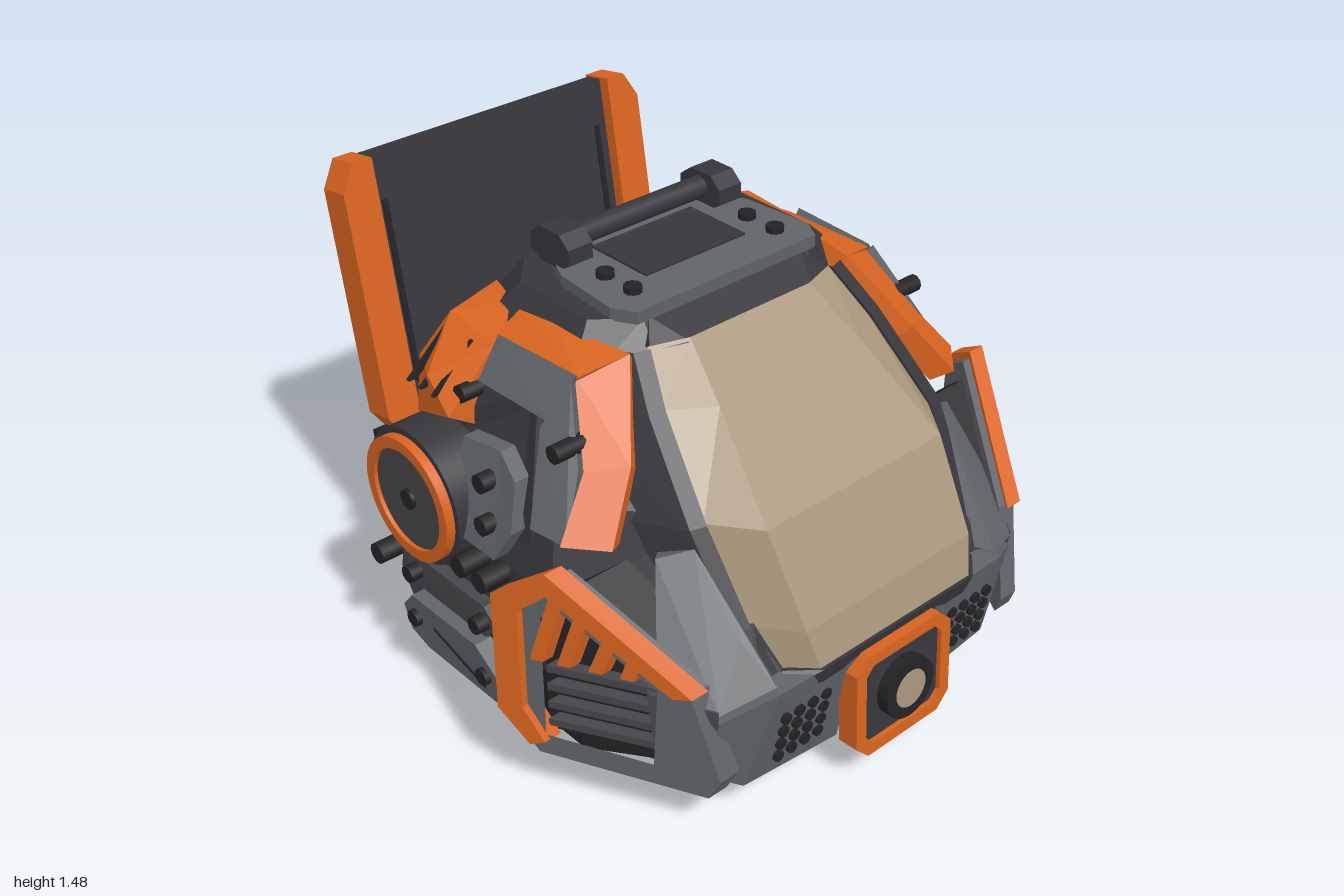
import * as THREE from 'three';
import { ConvexGeometry } from 'three/addons/geometries/ConvexGeometry.js';

const paint = (name, color) => Object.assign(new THREE.MeshStandardMaterial({ color }), { name });
const V = (p) => new THREE.Vector3(...p);

// half width, corner and depth of the octagonal hull: y, xFront, zFront, xSide, zSideFront, zSideBack, xBack, zBack
const HULL = [
  [0.04, 0.40, 0.64, 0.60, 0.42, -0.32, 0.42, -0.55],
  [0.17, 0.50, 0.84, 0.78, 0.45, -0.36, 0.56, -0.58],
  [0.38, 0.52, 0.88, 0.80, 0.42, -0.38, 0.58, -0.60],
  [0.48, 0.48, 0.86, 0.80, 0.40, -0.38, 0.58, -0.59],
  [0.65, 0.42, 0.76, 0.79, 0.34, -0.38, 0.56, -0.57],
  [0.90, 0.40, 0.62, 0.72, 0.28, -0.36, 0.52, -0.51],
  [1.12, 0.36, 0.36, 0.62, 0.20, -0.30, 0.46, -0.43],
  [1.31, 0.32, 0.20, 0.44, 0.10, -0.20, 0.33, -0.32],
];
const hullRing = ([y, xf, zf, xs, sf, sb, xb, zb]) => [
  [-xf, y, zf], [xf, y, zf], [xs, y, sf], [xs, y, sb], [xb, y, zb], [-xb, y, zb], [-xs, y, sb], [-xs, y, sf]];

// x of the hull side at a height
function sideX(y) {
  let i = 1;
  while (i < HULL.length - 1 && HULL[i][0] < y) i++;
  const a = HULL[i - 1], b = HULL[i];
  return a[3] + (b[3] - a[3]) * (y - a[0]) / (b[0] - a[0]);
}

// skin over cross-sections, listed from low to high
function loft(rings, closed = false) {
  const pos = [], n = rings[0].length;
  const tri = (...t) => t.forEach((p) => pos.push(...p));
  for (let i = 0; i + 1 < rings.length; i++)
    for (let j = 0; j < (closed ? n : n - 1); j++) {
      const k = (j + 1) % n, a = rings[i], b = rings[i + 1];
      tri(a[j], a[k], b[k]);
      tri(a[j], b[k], b[j]);
    }
  if (closed) for (let j = 1; j + 1 < n; j++) {
    const a = rings[0], b = rings[rings.length - 1];
    tri(a[0], a[j + 1], a[j]);
    tri(b[0], b[j], b[j + 1]);
  }
  const g = new THREE.BufferGeometry();
  g.setAttribute('position', new THREE.Float32BufferAttribute(pos, 3));
  g.computeVertexNormals();
  return g;
}

// faceted armour: outer points plus the same points pushed toward the body core
function armour(points, depth = 0.08) {
  const core = new THREE.Vector3(0, 0.55, 0);
  const outer = points.map(V);
  const inner = outer.map((p) => p.clone().add(core.clone().sub(p).setLength(depth)));
  return new ConvexGeometry([...outer, ...inner]);
}

const outline = (pts, sx = 1) => pts.map(([a, b]) => new THREE.Vector2(a * sx, b));
const extrude = (shape, depth) => new THREE.ExtrudeGeometry(shape, { depth, bevelEnabled: false, curveSegments: 32 });

// plate drawn in (z, y), facing +x, its outer face following the rule x = surface(y, z)
function sidePlate(pts, depth, surface, hole) {
  const shape = new THREE.Shape(outline(pts, -1));
  if (hole) shape.holes.push(new THREE.Path(outline(hole, -1)));
  const g = extrude(shape, depth).rotateY(Math.PI / 2), p = g.attributes.position;
  for (let i = 0; i < p.count; i++) p.setX(i, p.getX(i) - depth + surface(p.getY(i), p.getZ(i)));
  g.computeVertexNormals();
  return g;
}
const onHull = (lift) => (y) => sideX(y) + lift;
const onWing = (lift) => (y, z) => 1.15 - 0.565 * z + lift;
const box = (w, h, d, x, y, z) => new THREE.BoxGeometry(w, h, d).translate(x, y, z);
const rod = (r, len, x, y, z, n = 24) => new THREE.CylinderGeometry(r, r, len, n).rotateZ(Math.PI / 2).translate(x, y, z);
const lens = (r, len, x, y, z, n = 32) => new THREE.CylinderGeometry(r, r, len, n).rotateX(Math.PI / 2).translate(x, y, z);
const puck = (r, len, x, y, z, n = 20) => new THREE.CylinderGeometry(r, r, len, n).translate(x, y, z);

function mirrored(geo) {
  const g = geo.index ? geo.toNonIndexed() : geo.clone();
  for (const key of ['position', 'normal']) {
    const a = g.attributes[key], t = new THREE.Vector3(), u = new THREE.Vector3();
    for (let i = 0; i < a.count; i++) a.setX(i, -a.getX(i));
    for (let i = 0; i < a.count; i += 3) {
      t.fromBufferAttribute(a, i + 1);
      u.fromBufferAttribute(a, i + 2);
      a.setXYZ(i + 1, u.x, u.y, u.z);
      a.setXYZ(i + 2, t.x, t.y, t.z);
    }
  }
  return g;
}

export function createModel() {
  const root = new THREE.Group();
  root.name = 'armouredPod';
  const body = paint('charcoal', 0x37363b), black = paint('black', 0x232326), grey = paint('steel grey', 0x606467);
  const orange = paint('orange', 0xd96420), tan = paint('tan glass', 0xa8967c), panel = paint('dark grey', 0x47474b);
  const add = (name, geo, mat, parent = root) => {
    const m = new THREE.Mesh(geo, mat);
    m.name = name;
    parent.add(m);
    return m;
  };
  const both = (name, geo, mat, parent) => {
    add(name + 'Left', geo, mat, parent);
    add(name + 'Right', mirrored(geo), mat, parent);
  };

  // hull
  add('lowerHull', loft(HULL.slice(0, 3).map(hullRing), true), black);
  add('upperHull', loft(HULL.slice(2).map(hullRing), true), body);

  // faceted window and its frame: y, centre x, centre z, side x, side z
  const glass = [[0.48, 0.31, 0.93, 0.39, 0.85], [0.62, 0.34, 0.89, 0.44, 0.76], [0.89, 0.355, 0.74, 0.46, 0.60],
    [1.13, 0.28, 0.47, 0.41, 0.38], [1.26, 0.235, 0.30, 0.36, 0.26]];
  add('window', loft(glass.map(([y, a, b, c, d]) => [[-c, y, d], [-a, y, b], [a, y, b], [c, y, d]])), tan);
  both('windowFrame', loft(glass.map(([y, , , c, d]) =>
    [[c - 0.01, y, d - 0.02], [c, y, d + 0.015], [c + 0.05, y, d], [c + 0.14, y - 0.02, d - 0.2]])), body);
  add('windowSill', new ConvexGeometry([[0.4, 0.5, 0.86], [0.31, 0.5, 0.935], [0.45, 0.44, 0.88], [0.3, 0.44, 0.92], [0.3, 0.45, 0.7]]
    .flatMap(([x, y, z]) => [V([x, y, z]), V([-x, y, z])])), body);
  add('windowHeader', new ConvexGeometry([[0.24, 1.25, 0.31], [0.36, 1.25, 0.27], [0.3, 1.31, 0.2], [0.3, 1.25, 0.1]]
    .flatMap(([x, y, z]) => [V([x, y, z]), V([-x, y, z])])), body);

  // nose cheeks with perforated grilles
  both('noseCheek', armour([[0.17, 0.49, 0.93], [0.47, 0.49, 0.92], [0.62, 0.42, 0.84], [0.62, 0.2, 0.8],
    [0.52, 0.13, 0.84], [0.17, 0.13, 0.87]]), grey);
  both('cheekFin', armour([[0.46, 0.5, 0.9], [0.62, 0.45, 0.84], [0.72, 0.5, 0.7], [0.6, 0.82, 0.56], [0.51, 0.84, 0.62], [0.5, 0.62, 0.79]]), grey);
  both('cheekSide', armour([[0.62, 0.46, 0.84], [0.61, 0.17, 0.8], [0.72, 0.2, 0.7], [0.74, 0.5, 0.68]]), panel);
  for (let i = 0; i < 4; i++) for (let j = 0; j < 4; j++) {
    const y = 0.22 + j * 0.052;
    both('grilleHole', lens(0.018, 0.012, 0.27 + i * 0.053, y, 0.87 + (y - 0.13) * 0.167, 12), black);
  }

  // front camera
  const camera = new THREE.Group();
  camera.name = 'camera';
  camera.position.set(0, 0.285, 0.9);
  camera.rotation.x = -0.06;
  root.add(camera);
  const square = (w, h, c) => new THREE.Shape(outline([[-w + c, -h], [w - c, -h], [w, -h + c], [w, h - c], [w - c, h], [-w + c, h], [-w, h - c], [-w, -h + c]]));
  const rim = square(0.2, 0.18, 0.05);
  rim.holes.push(square(0.16, 0.14, 0.03));
  add('cameraRim', extrude(rim, 0.07), orange, camera);
  add('cameraFace', extrude(square(0.165, 0.145, 0.03), 0.055), body, camera);
  add('lensBarrel', lens(0.1, 0.05, 0, 0, 0.07), black, camera);
  add('lensGlass', lens(0.062, 0.01, 0, 0, 0.093), tan, camera);

  // front side wings: frame, slats, bars and rim
  both('wingFrame', sidePlate([[0.79, 0.53], [0.45, 0.83], [0.33, 0.74], [0.33, 0.33], [0.4, 0.2], [0.84, 0.17], [0.87, 0.24]], 0.07, onWing(-0.02),
    [[0.71, 0.52], [0.46, 0.73], [0.42, 0.69], [0.42, 0.27], [0.7, 0.25]]), grey);
  both('wingCore', sidePlate([[0.76, 0.52], [0.46, 0.77], [0.38, 0.7], [0.38, 0.25], [0.78, 0.2]], 0.2, onWing(-0.085)), black);
  for (let i = 0; i < 4; i++) {
    const y = 0.3 + i * 0.065;
    both('wingSlat', sidePlate([[0.71, y - 0.012], [0.71, y + 0.012], [0.41, y + 0.012], [0.41, y - 0.012]], 0.05, onWing(-0.045)), panel);
  }
  both('wingRim', sidePlate([[0.81, 0.53], [0.45, 0.855], [0.31, 0.755], [0.31, 0.35], [0.39, 0.235], [0.43, 0.255],
    [0.375, 0.37], [0.375, 0.71], [0.45, 0.78], [0.76, 0.52]], 0.06, onWing(0)), orange);
  for (const [a, b, c] of [[0.68, 0.63, 0.64], [0.62, 0.68, 0.56], [0.55, 0.74, 0.48], [0.48, 0.76, 0.41]])
    both('wingBar', sidePlate([[a, b], [a - 0.03, b + 0.02], [c - 0.02, 0.54], [c + 0.015, 0.54]], 0.035, onWing(-0.015)), orange);

  // shoulder trim and plates
  both('shoulderTrimTop', armour([[0.43, 1.27, 0.27], [0.5, 1.27, 0.05], [0.5, 1.27, -0.13], [0.59, 1.22, -0.13], [0.58, 1.23, 0.22]], 0.06), orange);
  both('shoulderTrimUpper', armour([[0.43, 1.27, 0.27], [0.57, 1.235, 0.2], [0.67, 1.03, 0.35], [0.57, 1.04, 0.43]], 0.07), orange);
  both('shoulderTrimLower', armour([[0.57, 1.04, 0.43], [0.67, 1.03, 0.35], [0.8, 0.87, 0.4], [0.7, 0.86, 0.5]], 0.08), orange);
  both('shoulderPlateTop', armour([[0.58, 1.24, 0.22], [0.6, 1.24, -0.1], [0.68, 1.12, -0.1], [0.67, 1.12, 0.2]], 0.1), grey);
  both('shoulderPlateFront', armour([[0.6, 1.23, 0.22], [0.68, 1.1, 0.18], [0.8, 0.86, 0.27], [0.78, 0.86, 0.4], [0.68, 1.03, 0.34]], 0.1), grey);
  both('rearShoulder', armour([[0.47, 1.26, -0.2], [0.43, 1.26, -0.33], [0.6, 1.2, -0.12], [0.66, 1.06, -0.42], [0.74, 0.94, -0.33],
    [0.77, 1.02, -0.13], [0.75, 1.1, -0.25], [0.6, 1.22, -0.33]], 0.1), orange);
  for (const z of [-0.19, -0.25, -0.31])
    both('shoulderSlot', sidePlate([[z, 1.06], [z, 1.19], [z - 0.015, 1.19], [z - 0.015, 1.06]], 0.03,
      (y) => 0.775 - (y - 1.06) * 1.15), black);

  // side service panels
  both('sidePanel', sidePlate([[0.22, 0.17], [0.22, 0.9], [0.1, 1.15], [-0.12, 1.15], [-0.34, 0.9], [-0.36, 0.4], [-0.28, 0.17]], 0.06, onHull(0.03)), body);
  both('upperSidePlate', sidePlate([[0.19, 0.8], [0.16, 0.94], [0.07, 0.99], [-0.09, 0.97], [-0.09, 0.8], [-0.02, 0.7], [0.14, 0.7]], 0.05, onHull(0.06)), grey);
  both('middleSidePlate', sidePlate([[0.13, 0.43], [0.13, 0.48], [0.09, 0.51], [-0.25, 0.51], [-0.29, 0.48], [-0.29, 0.43], [-0.25, 0.4], [0.09, 0.4]], 0.04, onHull(0.05)), panel);
  both('lowerSidePlate', sidePlate([[0.15, 0.17], [0.15, 0.28], [0.06, 0.36], [-0.26, 0.36], [-0.32, 0.29], [-0.3, 0.2], [-0.22, 0.17]], 0.06, onHull(0.07)), grey);
  both('sideGroove', sidePlate([[0.08, 0.2], [0.08, 0.212], [-0.16, 0.292], [-0.16, 0.28]], 0.01, onHull(0.074)), black);
  for (const [y, z, r] of [[0.9, 0.05, 0.03], [0.79, 0.09, 0.03], [0.63, 0.12, 0.035], [0.63, 0.02, 0.035], [0.46, 0.09, 0.028], [0.46, -0.24, 0.028],
    [0.26, 0.09, 0.028], [0.28, -0.25, 0.028], [0.45, -0.4, 0.035], [1.08, -0.13, 0.028], [1.08, 0.29, 0.028]])
    both('sideBolt', rod(r, 0.12, sideX(y) + 0.03, y, z, 10), black);

  // round side pods
  both('podDrum', rod(0.22, 0.28, 0.71, 0.74, -0.22, 36), body);
  const ring = new THREE.Shape().absarc(0, 0, 0.2, 0, Math.PI * 2);
  ring.holes.push(new THREE.Path().absarc(0, 0, 0.163, 0, Math.PI * 2, true));
  both('podRing', extrude(ring, 0.035).rotateY(Math.PI / 2).translate(0.845, 0.74, -0.22), orange);
  both('podCap', rod(0.165, 0.03, 0.852, 0.74, -0.22, 36), panel);
  both('podHub', rod(0.032, 0.03, 0.863, 0.74, -0.22), black);

  // top plate and carry handle
  const roof = new THREE.Shape(outline([[-0.35, -0.21], [0.35, -0.21], [0.39, -0.14], [0.37, 0.1], [0.27, 0.3], [-0.27, 0.3], [-0.37, 0.1], [-0.39, -0.14]]));
  add('roofPlate', extrude(roof, 0.04).rotateX(-Math.PI / 2).translate(0, 1.305, 0), grey);
  add('roofScreen', box(0.39, 0.008, 0.24, 0, 1.348, -0.05), body);
  for (const z of [-0.01, 0.11]) both('roofBolt', puck(0.028, 0.03, 0.28, 1.35, z, 10), black);
  const lug = [[-0.1, 1.36], [-0.1, 1.41], [-0.14, 1.445], [-0.23, 1.445], [-0.275, 1.41], [-0.275, 1.36], [-0.23, 1.335], [-0.14, 1.335]];
  both('handleLug', sidePlate(lug, 0.09, () => 0.34), body);
  add('handleBar', rod(0.035, 0.56, 0, 1.395, -0.19), body);

  // back plates, vent and latch
  const backWing = new THREE.Shape(outline([[0.29, 0.1], [0.5, 0.08], [0.6, 0.2], [0.62, 0.5], [0.58, 0.6], [0.29, 0.6]]));
  both('backPlate', extrude(backWing, 0.07).translate(0, 0, -0.655), grey);
  both('backBolt', lens(0.028, 0.012, 0.48, 0.2, -0.656, 16), panel);
  add('backVent', box(0.56, 0.46, 0.06, 0, 0.34, -0.61), panel);
  for (let i = 0; i < 4; i++) add('backVentSlot', box(0.4, 0.03, 0.008, 0, 0.2 + i * 0.08, -0.641), black);
  add('latch', box(0.24, 0.04, 0.05, 0, 0.52, -0.66), orange);

  // rear shelf and tilted screen
  const shelf = add('shelf', new THREE.BoxGeometry(1.17, 0.055, 0.22), black);
  shelf.position.set(0, 0.545, -0.745);
  shelf.rotation.x = -0.2;
  both('shelfBracket', box(0.1, 0.13, 0.05, 0.5, 0.57, -0.685), black);
  const screen = new THREE.Group();
  screen.name = 'rearScreen';
  screen.position.set(0, 0.575, -0.79);
  screen.rotation.x = -0.167;
  root.add(screen);
  add('screenPanel', box(0.98, 0.89, 0.06, 0, 0.455, -0.015), body, screen);
  const post = new THREE.Shape(outline([[0.47, 0], [0.55, 0], [0.59, 0.06], [0.59, 0.82], [0.54, 0.905], [0.47, 0.905]]));
  both('screenPost', extrude(post, 0.115).translate(0, 0, -0.0575), orange, screen);
  for (const z of [-0.046, 0.016]) both('screenSlot', box(0.02, 0.62, 0.008, 0.43, 0.44, z), black, screen);

  // underside plate, feet and contact pins
  add('bottomPlate', box(0.62, 0.008, 0.34, 0, 0.038, 0.08), black);
  for (const z of [0.4, -0.25]) both('foot', puck(0.05, 0.03, 0.5, 0.035, z), tan);
  for (const x of [-0.125, -0.042, 0.042, 0.125]) add('contactPin', puck(0.013, 0.04, x, 0.02, 0.08, 12), tan);
  return root;
}
